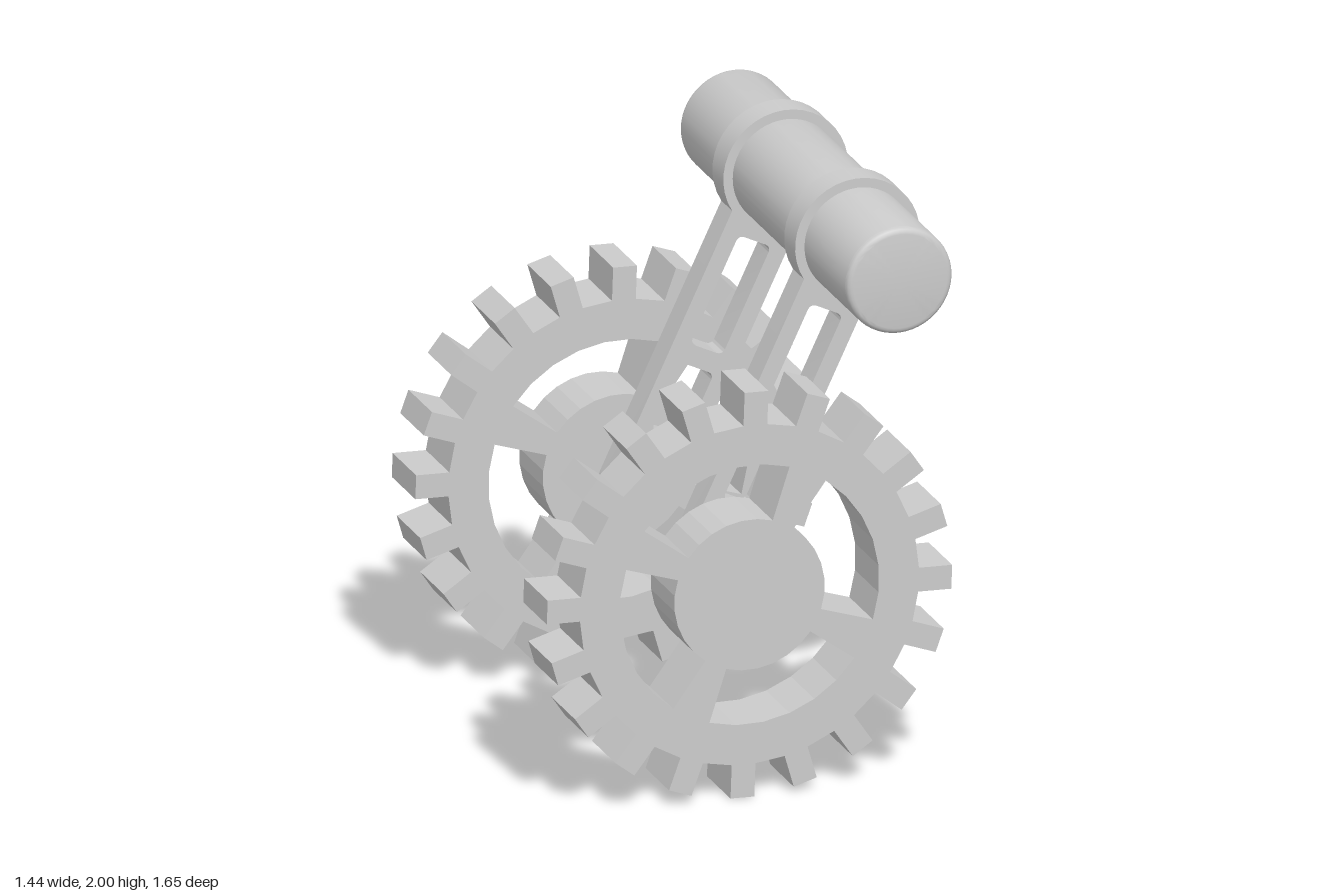
import * as THREE from 'three';
import { toCreasedNormals } from 'three/addons/utils/BufferGeometryUtils.js';

const rad = THREE.MathUtils.degToRad;
const polar = (r, a) => new THREE.Vector2(r * Math.cos(a), r * Math.sin(a));

// Extrude a shape to a given depth, centred on z = 0
function slab(shape, depth, curveSegments = 12) {
  const g = new THREE.ExtrudeGeometry(shape, { depth, bevelEnabled: false, curveSegments });
  return g.translate(0, 0, -depth / 2);
}

// Toothed rim, four radial spokes and a solid hub in one plate
function gearGeometry() {
  const teeth = 20, tip = 0.713, root = 0.596, half = 0.042;
  const outline = [];
  for (let i = 0; i < teeth; i++) {
    const a = rad(-2) + (i / teeth) * Math.PI * 2;
    const c = new THREE.Vector2();
    for (const [x, y] of [[root, -half], [tip, -half], [tip, half], [root, half]]) {
      outline.push(new THREE.Vector2(x, y).rotateAround(c, a));
    }
  }
  const shape = new THREE.Shape(outline);

  // Openings between the spokes
  const steps = 6;
  for (let k = 0; k < 4; k++) {
    const from = rad(63 + k * 90 + 9), to = rad(63 + k * 90 + 81);
    const pts = [];
    for (let i = 0; i <= steps; i++) pts.push(polar(0.457, from + ((to - from) * i) / steps));
    for (let i = steps; i >= 0; i--) pts.push(polar(0.265, from + ((to - from) * i) / steps));
    shape.holes.push(new THREE.Path(pts));
  }
  return slab(shape, 0.23);
}

// Rounded rectangular slot centred on x = 0
function slot(w, y0, y1, r) {
  const p = new THREE.Path();
  p.moveTo(-w + r, y0);
  p.lineTo(w - r, y0);
  p.quadraticCurveTo(w, y0, w, y0 + r);
  p.lineTo(w, y1 - r);
  p.quadraticCurveTo(w, y1, w - r, y1);
  p.lineTo(-w + r, y1);
  p.quadraticCurveTo(-w, y1, -w, y1 - r);
  p.lineTo(-w, y0 + r);
  p.quadraticCurveTo(-w, y0, -w + r, y0);
  return p;
}

// Slotted arm: pivot eye at the origin, collar at the top
function armGeometry(length) {
  const w = 0.122, collar = 0.22;
  const a = Math.asin(w / collar);
  const s = new THREE.Shape();
  s.absarc(0, 0, w, Math.PI, Math.PI * 2, false);
  s.absarc(0, length, collar, -Math.PI / 2 + a, Math.PI * 1.5 - a, false);
  s.closePath();
  const eye = new THREE.Path();
  eye.absarc(0, 0, 0.086, 0, Math.PI * 2, true);
  s.holes.push(eye, slot(0.063, 0.2, 0.45, 0.025), slot(0.063, 0.52, 0.92, 0.025));
  return toCreasedNormals(slab(s, 0.107, 16), rad(35));
}

// Bar with rounded rims
function barGeometry(r, halfLength, bevel) {
  const pts = [new THREE.Vector2(0, -halfLength)];
  for (const end of [-1, 1]) {
    for (let i = 0; i <= 4; i++) {
      const t = ((end < 0 ? i : 4 - i) / 4) * Math.PI / 2;
      pts.push(new THREE.Vector2(
        r - bevel + bevel * Math.sin(t),
        end * (halfLength - bevel + bevel * Math.cos(t))
      ));
    }
  }
  pts.push(new THREE.Vector2(0, halfLength));
  return toCreasedNormals(new THREE.LatheGeometry(pts, 48), rad(30)).rotateX(Math.PI / 2);
}

export function createModel() {
  const model = new THREE.Group();
  model.name = 'crankWithGears';
  const material = new THREE.MeshStandardMaterial({ color: 0xcccccc });
  const add = (name, geometry, x, y, z) => {
    const mesh = new THREE.Mesh(geometry, material);
    mesh.name = name;
    mesh.position.set(x, y, z);
    model.add(mesh);
    return mesh;
  };

  const pivot = new THREE.Vector2(-0.003, 0.72);
  const top = new THREE.Vector2(0.5, 1.78);
  const gear = gearGeometry();
  const arm = armGeometry(pivot.distanceTo(top));
  const tilt = -Math.atan2(top.x - pivot.x, top.y - pivot.y);

  // Mirrored pairs of gears and arms
  for (const [side, s] of [['front', 1], ['back', -1]]) {
    add(side + 'Gear', gear, -0.008, 0.715, s * 0.643);
    add(side + 'Arm', arm, pivot.x, pivot.y, s * 0.351).rotation.z = tilt;
  }

  // Handle bar through both collars
  add('handleBar', barGeometry(0.187, 0.823, 0.022), top.x, top.y, 0);
  return model;
}
